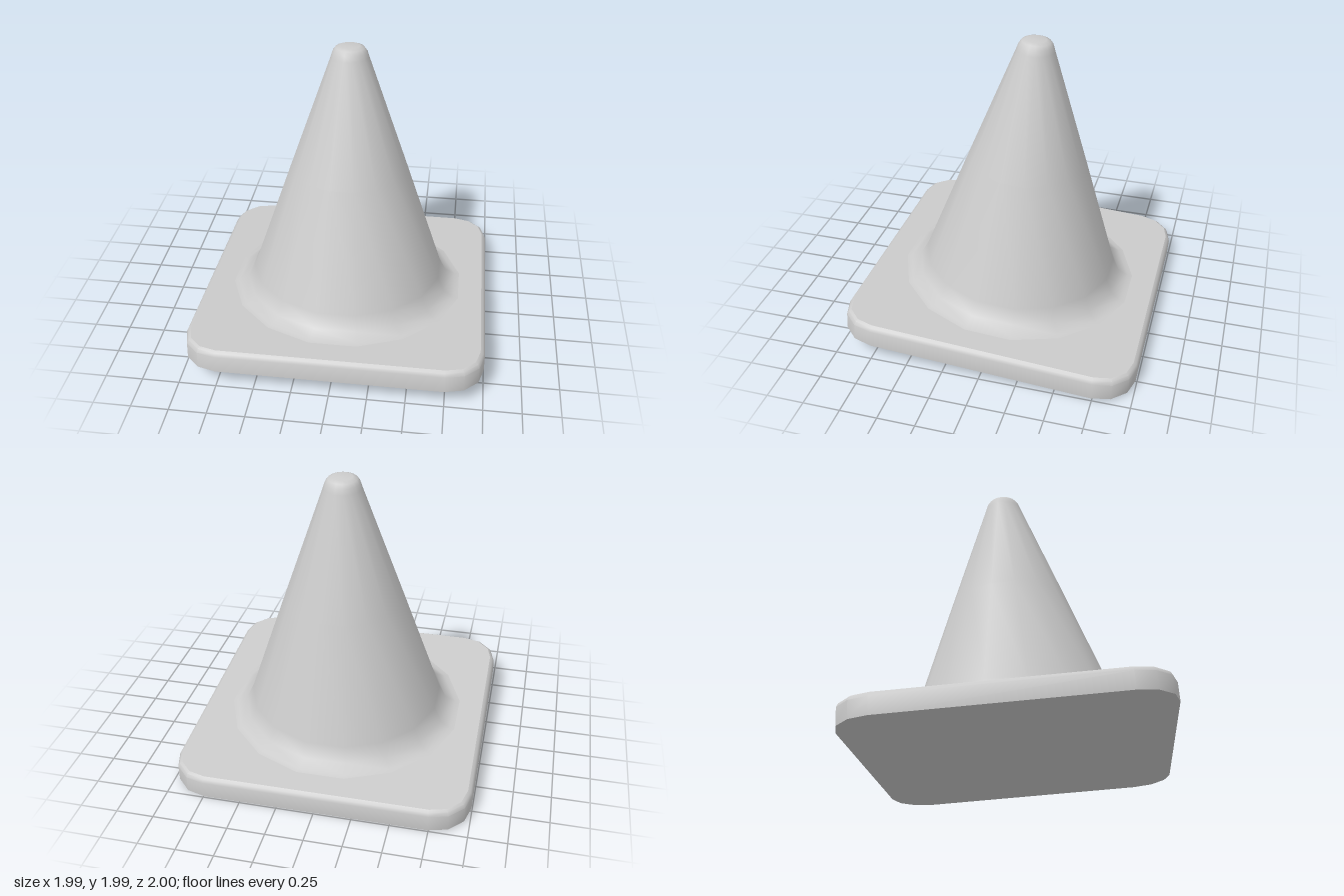
import * as THREE from 'three';
import { toCreasedNormals } from 'three/addons/utils/BufferGeometryUtils.js';

const material = new THREE.MeshStandardMaterial({ color: 0xcccccc });

// Rounded-square slab: stacked outline rings, closed above and below
function basePlateGeometry() {
  const profile = [[0, 0], [0, 0.115], [0.012, 0.138], [0.03, 0.15]]; // [inset, y]
  const corner = 0.25, steps = 3, half = 0.996;
  const rings = profile.map(([inset, y]) => {
    const ring = [];
    for (let q = 0; q < 4; q++) {
      const mid = (q + 0.5) * Math.PI / 2;
      const cx = Math.sign(Math.cos(mid)) * (half - corner);
      const cz = Math.sign(Math.sin(mid)) * (half - corner);
      for (let s = 0; s <= steps; s++) {
        const a = (q + s / steps) * Math.PI / 2;
        const r = corner - inset;
        ring.push([cx + r * Math.cos(a), y, cz + r * Math.sin(a)]);
      }
    }
    return ring;
  });
  const n = rings[0].length, last = rings.length - 1;
  const positions = [];
  const tri = (a, b, c) => positions.push(...a, ...b, ...c);
  for (let i = 0; i < n; i++) {
    const j = (i + 1) % n;
    for (let k = 0; k < last; k++) {
      tri(rings[k][i], rings[k + 1][i], rings[k][j]);
      tri(rings[k][j], rings[k + 1][i], rings[k + 1][j]);
    }
    tri([0, profile[last][1], 0], rings[last][j], rings[last][i]);
    tri([0, 0, 0], rings[0][i], rings[0][j]);
  }
  const geometry = new THREE.BufferGeometry();
  geometry.setAttribute('position', new THREE.Float32BufferAttribute(positions, 3));
  return toCreasedNormals(geometry, 0.55);
}

// Cone with a flared foot and a softly rounded, closed tip
function coneGeometry() {
  const sides = 16;
  const profile = [
    [0.84, 0.148], [0.785, 0.153], [0.715, 0.192], [0.667, 0.288], [0.4, 1.066],
    [0.125, 1.855], [0.114, 1.89], [0.095, 1.915], [0.065, 1.927], [0, 1.928],
  ].map(([r, y]) => new THREE.Vector2(r, y));
  return new THREE.LatheGeometry(profile, sides, Math.PI / sides);
}

export function createModel() {
  const model = new THREE.Group();
  model.name = 'trafficCone';

  // Whole cone leans back, with the front edge of the plate raised
  const tilted = new THREE.Group();
  tilted.name = 'tiltedCone';
  tilted.rotation.x = -0.0625;
  tilted.position.set(0, 0.0625, 0.004);
  model.add(tilted);

  const parts = { basePlate: basePlateGeometry(), cone: coneGeometry() };
  for (const [name, geometry] of Object.entries(parts)) {
    const mesh = new THREE.Mesh(geometry, material);
    mesh.name = name;
    tilted.add(mesh);
  }
  return model;
}
